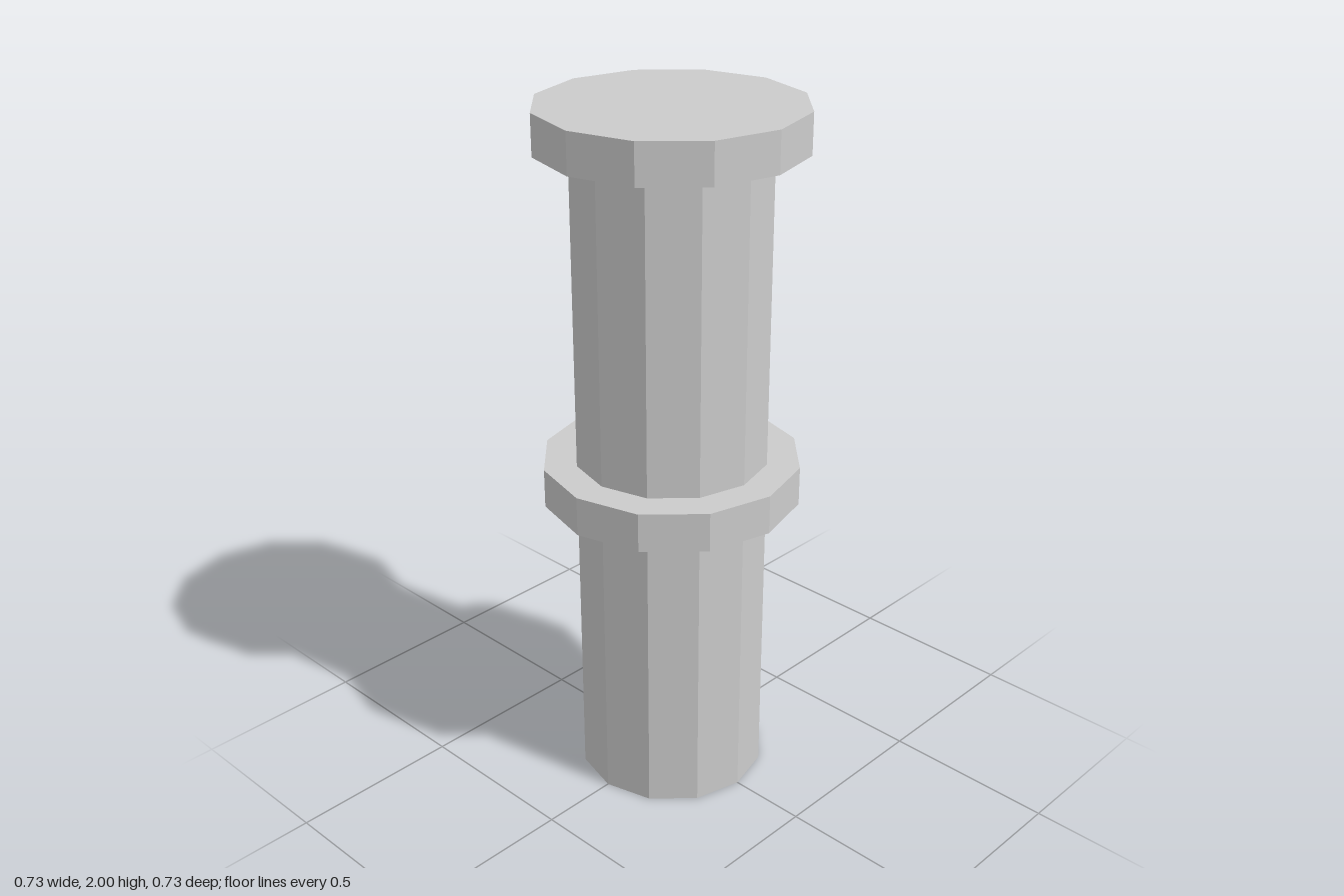
import * as THREE from 'three';

const SIDES = 12;

export function createModel() {
  const group = new THREE.Group();
  const material = new THREE.MeshStandardMaterial({ color: 0xcccccc, flatShading: true });

  // Upright twelve-sided prism from height y0 to y1
  function prism(name, radius, y0, y1) {
    const geometry = new THREE.CylinderGeometry(radius, radius, y1 - y0, SIDES);
    const mesh = new THREE.Mesh(geometry, material);
    mesh.name = name;
    mesh.position.y = (y0 + y1) / 2;
    group.add(mesh);
  }

  // Two stacked pipe sections, each ending in a wider flange
  const shaftRadius = 0.273, flangeRadius = 0.366, flangeHeight = 0.113;
  [['lower', 0, 1.003], ['upper', 1.003, 2]].forEach(([level, bottom, top]) => {
    prism(level + 'Shaft', shaftRadius, bottom, top - flangeHeight);
    prism(level + 'Flange', flangeRadius, top - flangeHeight, top);
  });

  return group;
}
